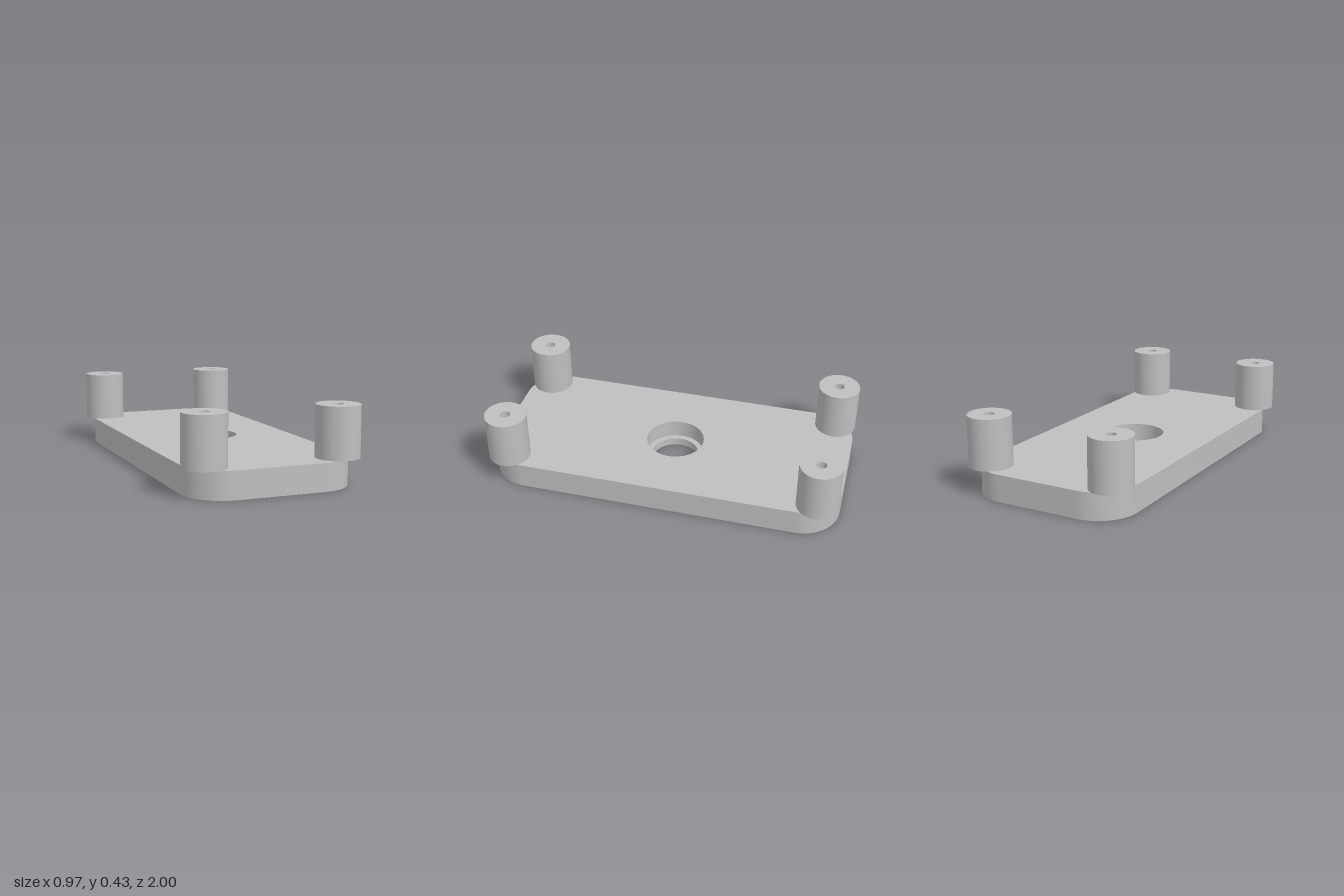
import * as THREE from 'three';
import { toCreasedNormals } from 'three/addons/utils/BufferGeometryUtils.js';

const HALF_W = 0.455, HALF_L = 1, CORNER = 0.22, THICK = 0.148, HEIGHT = 0.425;
const POST_X = 0.367, POST_Z = 0.883, POST_R = 0.117;
const CORNERS = [[1, 1], [-1, 1], [1, -1], [-1, -1]];

// Rounded rectangle outline
function plateShape() {
  const w = HALF_W - CORNER, l = HALF_L - CORNER, s = new THREE.Shape();
  s.absarc(w, l, CORNER, 0, Math.PI / 2);
  s.absarc(-w, l, CORNER, Math.PI / 2, Math.PI);
  s.absarc(-w, -l, CORNER, Math.PI, Math.PI * 1.5);
  s.absarc(w, -l, CORNER, Math.PI * 1.5, Math.PI * 2);
  s.closePath();
  return s;
}

function hole(x, y, r) {
  const p = new THREE.Path();
  p.absarc(x, y, r, 0, Math.PI * 2, true);
  return p;
}

// Hollow cylinder between two radii and two heights
function tubeGeometry(inner, outer, y0, y1) {
  const profile = [[inner, y0], [outer, y0], [outer, y1], [inner, y1], [inner, y0]]
    .map(([r, y]) => new THREE.Vector2(r, y));
  return toCreasedNormals(new THREE.LatheGeometry(profile, 64), 0.5);
}

export function createModel() {
  const group = new THREE.Group();
  const grey = new THREE.MeshStandardMaterial({ color: 0xbfbfbf });
  grey.name = 'grey';
  const add = (name, geometry, x = 0, z = 0) => {
    const mesh = new THREE.Mesh(geometry, grey);
    mesh.name = name;
    mesh.position.set(x, 0, z);
    group.add(mesh);
  };

  // Base plate with centre bore and screw holes under the posts
  const shape = plateShape();
  shape.holes.push(hole(0, 0, 0.165));
  for (const [sx, sz] of CORNERS) shape.holes.push(hole(sx * POST_X, sz * POST_Z, 0.045));
  const plate = new THREE.ExtrudeGeometry(shape, { depth: THICK, bevelEnabled: false, curveSegments: 32 });
  plate.rotateX(-Math.PI / 2);
  add('basePlate', toCreasedNormals(plate, 0.5));

  // Step at the bottom of the centre bore
  add('boreLedge', tubeGeometry(0.134, 0.165, 0, 0.045));

  // Corner posts with a narrow screw channel
  const post = tubeGeometry(0.028, POST_R, THICK, HEIGHT);
  for (const [sx, sz] of CORNERS) {
    add(`${sz > 0 ? 'front' : 'back'}${sx > 0 ? 'Left' : 'Right'}Post`, post, sx * POST_X, sz * POST_Z);
  }
  return group;
}
